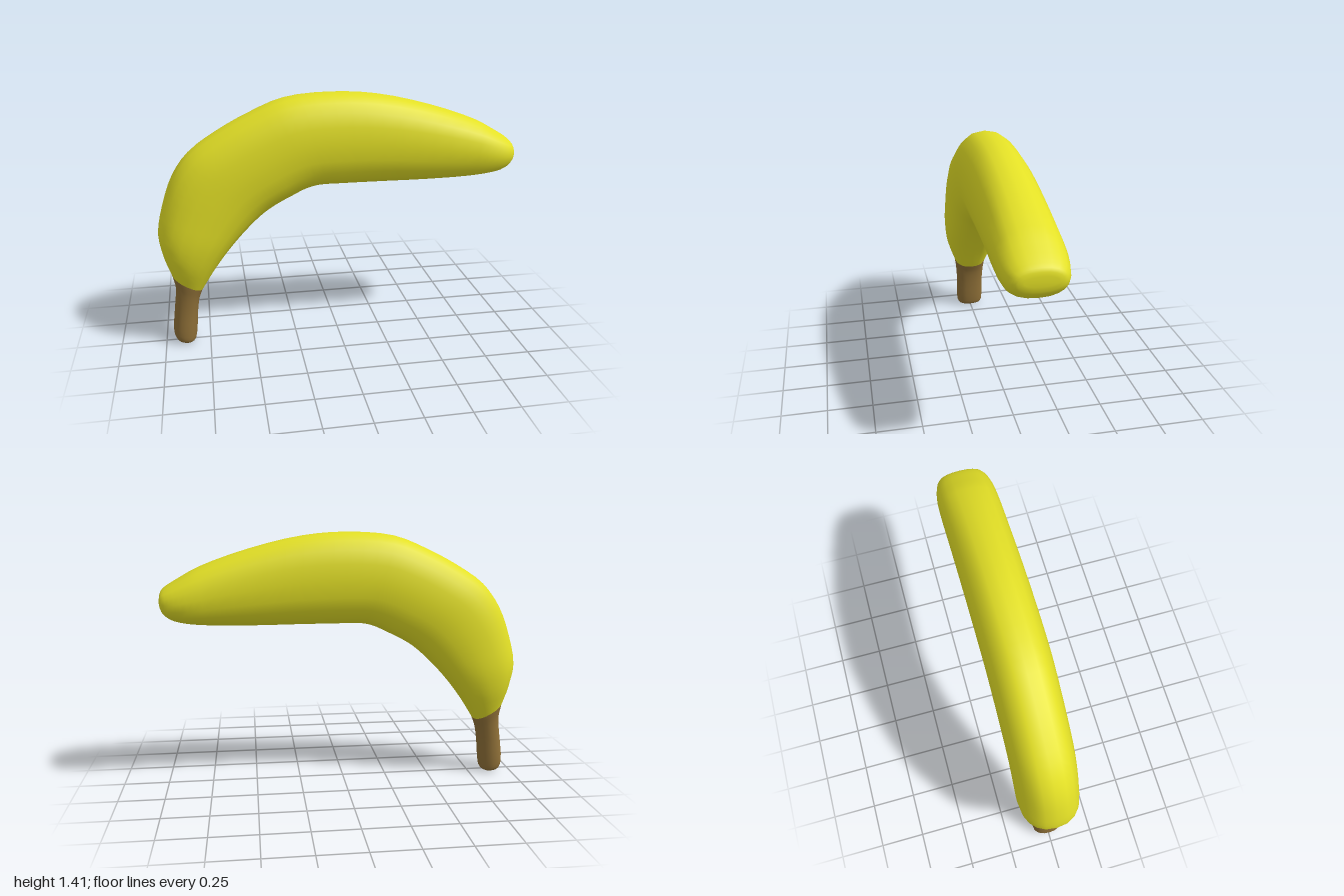
import * as THREE from 'three';

const SIDES = 20;   // points around each cross-section
const STEPS = 3;    // rings between neighbouring sections

// Each section: outer edge x, y, inner edge x, y, half width in z
const stemSections = [
  [-0.92, 0.012, -0.86, 0.004, 0.055],
  [-0.942, 0.026, -0.836, 0.012, 0.078],
  [-0.955, 0.07, -0.826, 0.04, 0.086],
  [-0.942, 0.20, -0.812, 0.18, 0.087],
  [-0.927, 0.34, -0.797, 0.27, 0.094],
  [-0.943, 0.425, -0.775, 0.325, 0.105],
];
const bodySections = [
  [-0.943, 0.425, -0.775, 0.325, 0.105],
  [-0.98, 0.54, -0.70, 0.445, 0.148],
  [-1.0, 0.66, -0.61, 0.565, 0.168],
  [-0.965, 0.83, -0.51, 0.675, 0.17],
  [-0.90, 1.00, -0.41, 0.765, 0.17],
  [-0.81, 1.12, -0.33, 0.815, 0.17],
  [-0.66, 1.225, -0.25, 0.855, 0.17],
  [-0.48, 1.32, -0.18, 0.888, 0.17],
  [-0.29, 1.395, -0.11, 0.905, 0.17],
  [-0.03, 1.418, 0.02, 0.907, 0.17],
  [0.22, 1.40, 0.24, 0.907, 0.17],
  [0.52, 1.33, 0.50, 0.907, 0.17],
  [0.79, 1.235, 0.75, 0.915, 0.17],
  [0.90, 1.175, 0.87, 0.928, 0.163],
  [0.97, 1.132, 0.95, 0.953, 0.143],
  [0.993, 1.11, 0.988, 0.99, 0.118],
  [1.0, 1.08, 1.0, 1.03, 0.08],
];

// Smooth skin through the sections, closed at the start or the end
function loft(sections, capStart) {
  const outer = new THREE.CatmullRomCurve3(sections.map(s => new THREE.Vector3(s[0], s[1], s[4])));
  const inner = new THREE.CatmullRomCurve3(sections.map(s => new THREE.Vector3(s[2], s[3], s[4])));
  const rings = (sections.length - 1) * STEPS;
  const pos = [], idx = [];
  const soft = v => Math.sign(v) * Math.pow(Math.abs(v), 0.87);   // slightly squared oval
  for (let i = 0; i <= rings; i++) {
    const o = outer.getPoint(i / rings), n = inner.getPoint(i / rings);
    for (let j = 0; j < SIDES; j++) {
      const a = (j / SIDES) * Math.PI * 2;
      const k = (1 + soft(Math.cos(a))) / 2;
      pos.push(n.x + (o.x - n.x) * k, n.y + (o.y - n.y) * k, o.z * soft(Math.sin(a)));
      if (i < rings) {
        const p = i * SIDES + j, q = i * SIDES + (j + 1) % SIDES;
        idx.push(p, q, p + SIDES, q, q + SIDES, p + SIDES);
      }
    }
  }
  // End cap fan
  const s = sections[capStart ? 0 : sections.length - 1];
  const centre = pos.length / 3, base = capStart ? 0 : rings * SIDES;
  pos.push((s[0] + s[2]) / 2, (s[1] + s[3]) / 2, 0);
  for (let j = 0; j < SIDES; j++) {
    const p = base + j, q = base + (j + 1) % SIDES;
    if (capStart) idx.push(centre, q, p);
    else idx.push(centre, p, q);
  }
  const geo = new THREE.BufferGeometry();
  geo.setAttribute('position', new THREE.Float32BufferAttribute(pos, 3));
  geo.setIndex(idx);
  geo.computeVertexNormals();
  return geo;
}

export function createModel() {
  const yellow = new THREE.MeshStandardMaterial({ color: 0xe3e026 });
  yellow.name = 'yellow peel';
  const brown = new THREE.MeshStandardMaterial({ color: 0x8f7038 });
  brown.name = 'brown stem';

  const group = new THREE.Group();
  group.name = 'banana';

  const body = new THREE.Mesh(loft(bodySections, false), yellow);
  body.name = 'body';
  const stem = new THREE.Mesh(loft(stemSections, true), brown);
  stem.name = 'stem';
  group.add(body, stem);
  return group;
}
